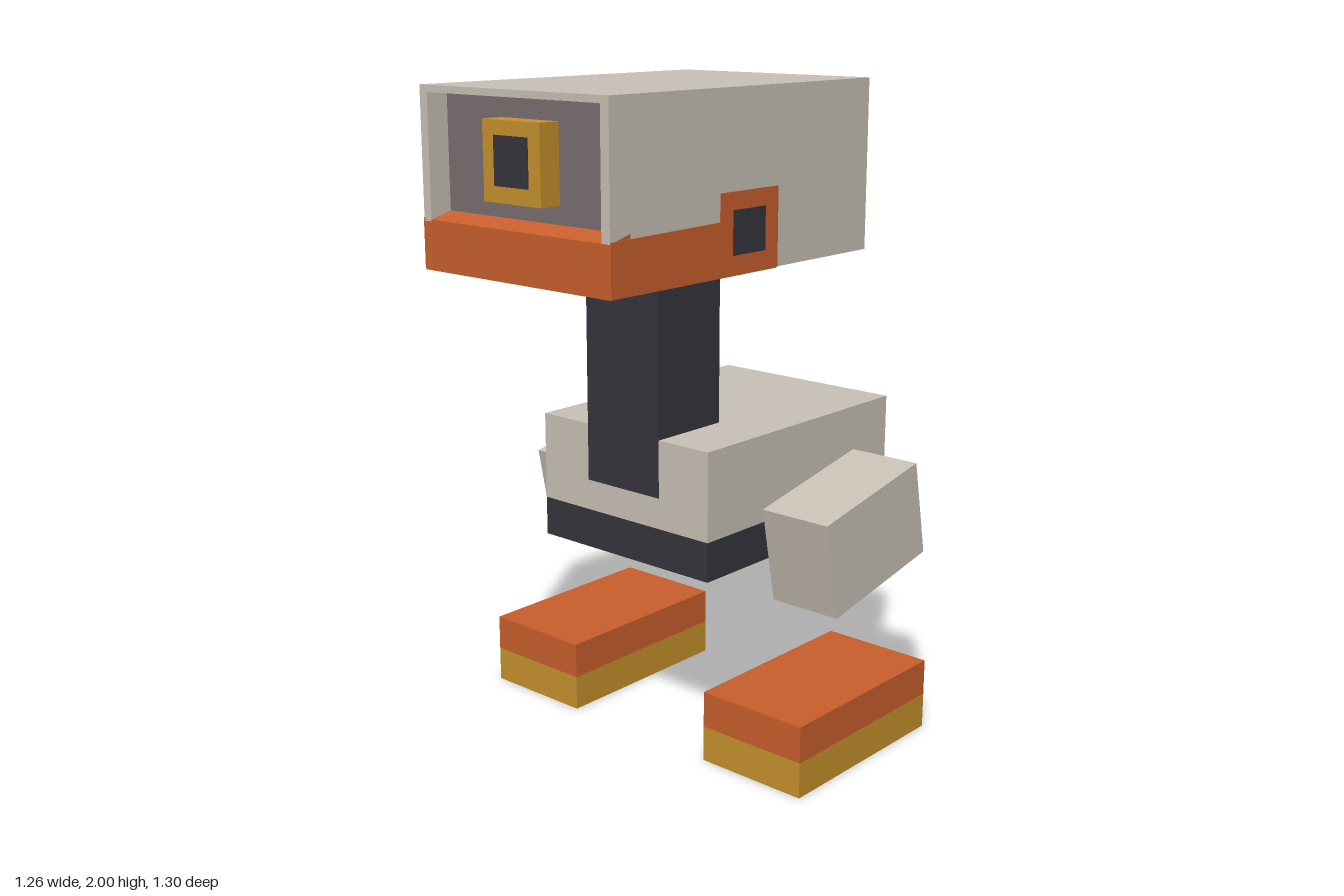
import * as THREE from 'three';

const material = (name, color) => {
  const m = new THREE.MeshStandardMaterial({ color });
  m.name = name;
  return m;
};

export function createModel() {
  const beige = material('beige shell', 0xcac2b7);
  const orange = material('orange', 0xca602c);
  const yellow = material('yellow', 0xc8922d);
  const dark = material('charcoal', 0x37353d);
  const mauve = material('mauve grey', 0x7c6e70);

  const model = new THREE.Group();

  // Box given by its minimum and maximum along each axis
  const box = (parent, name, mat, [x0, x1], [y0, y1], [z0, z1]) => {
    const mesh = new THREE.Mesh(new THREE.BoxGeometry(x1 - x0, y1 - y0, z1 - z0), mat);
    mesh.position.set((x0 + x1) / 2, (y0 + y1) / 2, (z0 + z1) / 2);
    mesh.name = name;
    parent.add(mesh);
    return mesh;
  };
  // Outline in (z, y) extruded along x from x0
  const sidePrism = (parent, name, mat, points, x0, width) => {
    const shape = new THREE.Shape(points.map(([z, y]) => new THREE.Vector2(-z, y)));
    const geo = new THREE.ExtrudeGeometry(shape, { depth: width, bevelEnabled: false });
    geo.rotateY(Math.PI / 2);
    const mesh = new THREE.Mesh(geo, mat);
    mesh.position.x = x0;
    mesh.name = name;
    parent.add(mesh);
  };

  // Head shell with a recessed face
  const head = new THREE.Group();
  head.name = 'head';
  model.add(head);
  box(head, 'headShell', beige, [-0.36, 0.36], [1.49, 2], [-0.46, 0.575]);
  box(head, 'topRim', beige, [-0.36, 0.36], [1.98, 2], [0.575, 0.65]);
  box(head, 'facePlate', mauve, [-0.33, 0.33], [1.64, 1.98], [0.573, 0.579]);
  sidePrism(head, 'chin', orange,
    [[0.575, 1.49], [0.65, 1.49], [0.65, 1.63], [0.575, 1.65]], -0.36, 0.72);
  box(head, 'chinUnderside', orange, [-0.36, 0.36], [1.487, 1.492], [-0.03, 0.65]);

  // Eye
  box(head, 'eyeFrame', yellow, [-0.11, 0.11], [1.7, 1.92], [0.575, 0.648]);
  box(head, 'pupil', dark, [-0.065, 0.065], [1.745, 1.88], [0.645, 0.651]);

  // Torso and neck
  box(model, 'body', beige, [-0.33, 0.33], [0.72, 0.99], [-0.65, 0.23]);
  box(model, 'bodyBase', dark, [-0.33, 0.33], [0.6, 0.72], [-0.65, 0.23]);
  box(model, 'neck', dark, [-0.142, 0.142], [0.815, 1.5], [-0.04, 0.233]);

  for (const side of [-1, 1]) {
    const label = side > 0 ? 'left' : 'right';

    // Rim, band and ear on each side of the head
    box(head, label + 'Rim', beige,
      side > 0 ? [0.33, 0.36] : [-0.36, -0.33], [1.625, 1.98], [0.575, 0.65]);
    sidePrism(head, label + 'Band', orange,
      [[0.65, 1.49], [0.65, 1.635], [0.22, 1.642], [0.22, 1.72], [-0.03, 1.72], [-0.03, 1.49]],
      side * 0.36 - 0.003, 0.006);
    box(head, label + 'Ear', dark,
      side > 0 ? [0.36, 0.366] : [-0.366, -0.36], [1.545, 1.67], [0.03, 0.168]);

    // Tilted hand, hollow underneath toward the front
    const hand = new THREE.Group();
    hand.name = label + 'Hand';
    hand.position.set(side * 0.475, 0.67, -0.24);
    hand.rotation.x = 0.195;
    model.add(hand);
    box(hand, 'palm', beige, [-0.117, 0.117], [-0.152, 0.152], [-0.229, -0.03]);
    box(hand, 'handTop', beige, [-0.117, 0.117], [0.03, 0.152], [-0.03, 0.229]);
    box(hand, 'fingertip', beige, [-0.117, 0.117], [-0.152, 0.03], [0.17, 0.229]);
    for (const s of [-1, 1]) {
      box(hand, 'handSide', beige,
        s > 0 ? [0.087, 0.117] : [-0.117, -0.087], [-0.152, 0.03], [-0.03, 0.17]);
    }

    // Two-tone foot
    const foot = new THREE.Group();
    foot.name = label + 'Foot';
    model.add(foot);
    const footX = side > 0 ? [0.27, 0.632] : [-0.632, -0.27];
    box(foot, 'sole', yellow, footX, [0, 0.11], [-0.465, 0.173]);
    box(foot, 'footTop', orange, footX, [0.11, 0.222], [-0.465, 0.173]);
  }
  return model;
}
